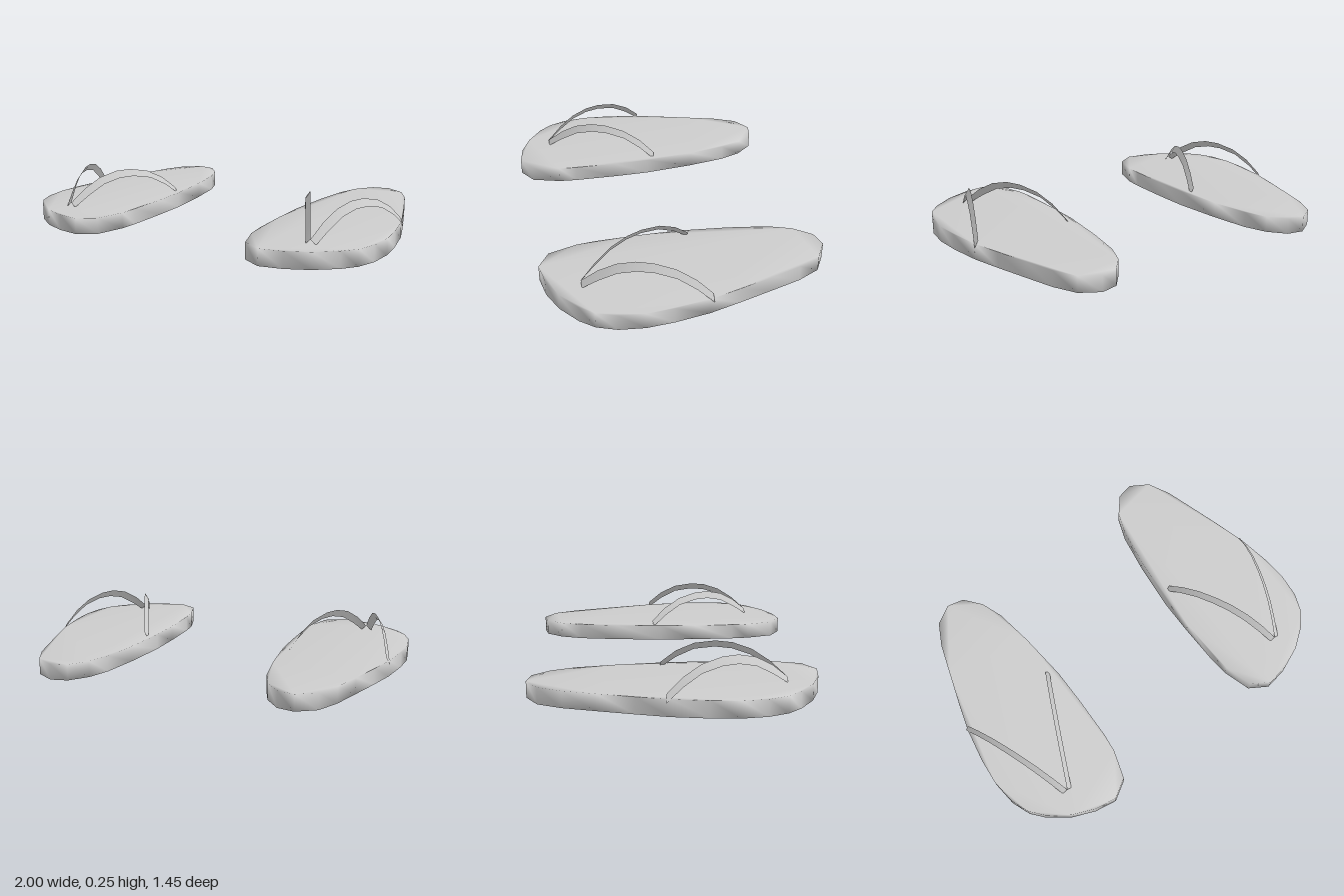
import * as THREE from 'three';
import { mergeVertices } from 'three/addons/utils/BufferGeometryUtils.js';

const SOLE_HEIGHT = 0.085;

// Outline of one sole as [x, z]
const OUTLINE = [
  [0.65, -0.73], [0.56, -0.71], [0.485, -0.62], [0.44, -0.5], [0.405, -0.29],
  [0.377, -0.02], [0.375, 0.18], [0.38, 0.41], [0.39, 0.51], [0.437, 0.66],
  [0.535, 0.72], [0.655, 0.7], [0.775, 0.65], [0.885, 0.57], [0.945, 0.5],
  [0.985, 0.4], [1, 0.27], [0.99, 0.13], [0.96, -0.05], [0.915, -0.21],
  [0.86, -0.39], [0.81, -0.55], [0.75, -0.67],
];

// Strap arch as [z, upper edge y, lower edge y], from toe to side
const ARCH = [
  [0.533, 0.105, 0.081], [0.453, 0.175, 0.138], [0.368, 0.225, 0.188], [0.28, 0.248, 0.21],
  [0.2, 0.248, 0.21], [0.1, 0.225, 0.187], [0.01, 0.175, 0.133], [-0.067, 0.105, 0.068],
];

// Sole: extruded outline with its vertices welded for soft shading
function soleGeometry(side) {
  const shape = new THREE.Shape(OUTLINE.map(([x, z]) => new THREE.Vector2(x * side, z)));
  let geo = new THREE.ExtrudeGeometry(shape, { depth: SOLE_HEIGHT, bevelEnabled: false });
  geo.rotateX(Math.PI / 2).translate(0, SOLE_HEIGHT, 0);
  geo.deleteAttribute('normal');
  geo.deleteAttribute('uv');
  geo.clearGroups();
  geo = mergeVertices(geo, 1e-4);
  geo.computeVertexNormals();
  return geo;
}

// Strap: a tilted ribbon; upper and lower give the edge x at toe and side
function strapGeometry(side, upper, lower) {
  const pos = [], index = [];
  const z0 = ARCH[0][0], z1 = ARCH[ARCH.length - 1][0];
  const outward = (lower[0] > upper[0] ? 1 : -1) * side;
  ARCH.forEach(([z, top, bottom], i) => {
    const t = (z - z0) / (z1 - z0);
    pos.push(side * THREE.MathUtils.lerp(upper[0], upper[1], t), top, z);
    pos.push(side * THREE.MathUtils.lerp(lower[0], lower[1], t), bottom, z);
    if (i === 0) return;
    const a = 2 * i - 2, b = a + 1, c = a + 2, d = a + 3;
    if (outward > 0) index.push(a, b, c, b, d, c);
    else index.push(a, c, b, b, c, d);
  });
  const geo = new THREE.BufferGeometry();
  geo.setAttribute('position', new THREE.Float32BufferAttribute(pos, 3));
  geo.setIndex(index);
  geo.computeVertexNormals();
  return geo;
}

export function createModel() {
  const model = new THREE.Group();
  model.name = 'sandals';
  const grey = new THREE.MeshStandardMaterial({ color: 0xcccccc, side: THREE.DoubleSide });
  grey.name = 'light grey';

  for (const [side, label] of [[1, 'left'], [-1, 'right']]) {
    const sandal = new THREE.Group();
    sandal.name = label + 'Sandal';
    const add = (name, geo) => {
      const mesh = new THREE.Mesh(geo, grey);
      mesh.name = name;
      sandal.add(mesh);
    };
    add('sole', soleGeometry(side));
    add('innerStrap', strapGeometry(side, [0.715, 0.435], [0.69, 0.41]));
    add('outerStrap', strapGeometry(side, [0.715, 0.945], [0.745, 0.967]));
    model.add(sandal);
  }
  return model;
}
